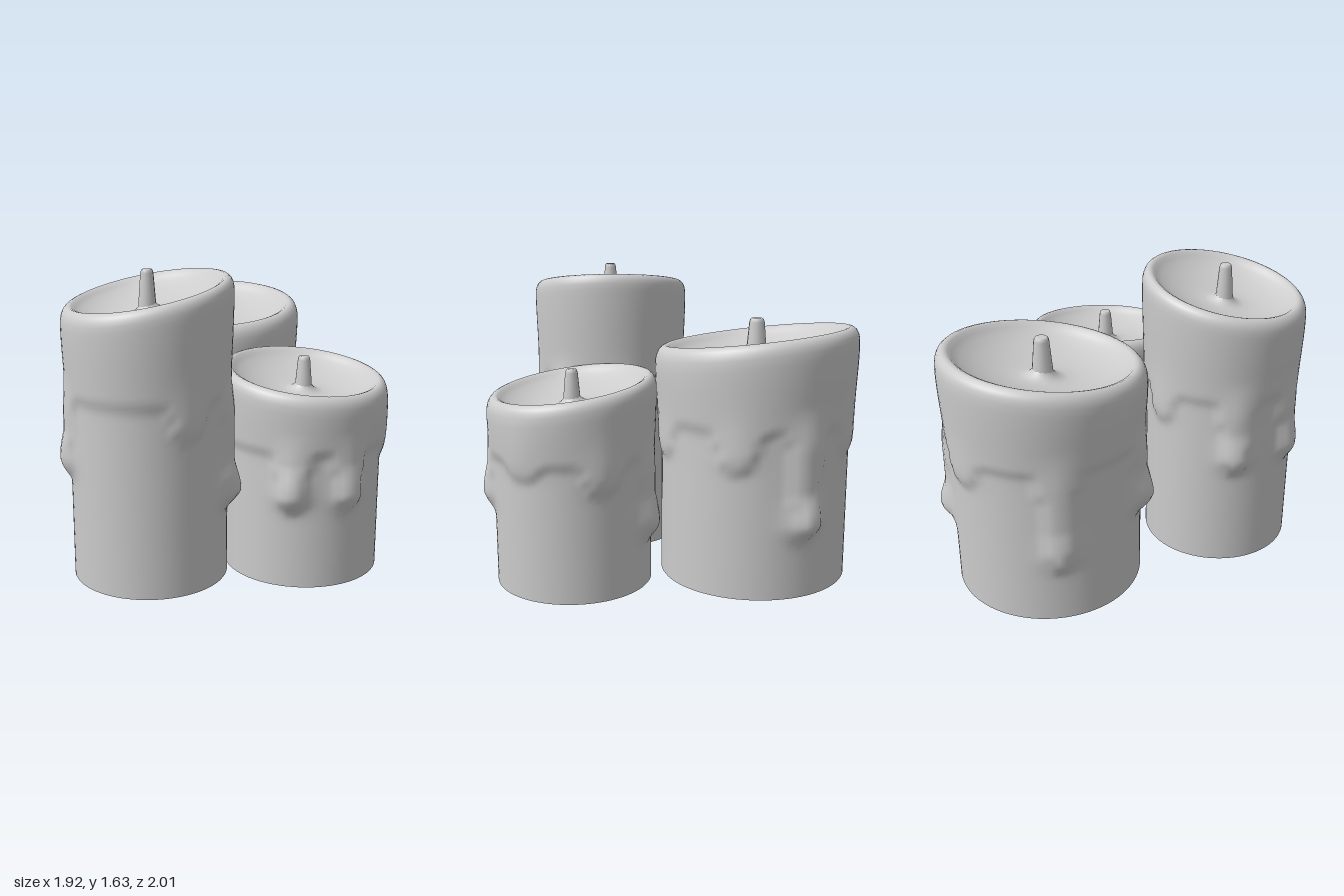
import * as THREE from 'three';

const SEG = 80, ROWS = 56;
const rad = THREE.MathUtils.degToRad;
const smooth = THREE.MathUtils.smoothstep;

// Each drip: [angle from +x towards +z, height of its tip, half width, bulge]
const CANDLES = [
  { name: 'tallCandle', x: -0.51, z: 0.12, top: 1.53, tiltX: 0.19, tiltZ: 0.05, rTop: 0.447, rBase: 0.415,
    edge: 1.0, wick: 1.635, drips: [[98, 0.82, 14, 0.012], [55, 0.4, 11, 0.07], [5, 0.8, 14, 0.012],
      [-45, 0.82, 13, 0.012], [-107, 0.57, 12, 0.05], [-156, 0.57, 12, 0.045]] },
  { name: 'shortCandle', x: 0.22, z: 0.535, top: 1.075, tiltX: 0, tiltZ: -0.135, rTop: 0.45, rBase: 0.42,
    edge: 0.72, wick: 1.15, drips: [[101, 0.41, 11, 0.045], [142, 0.41, 11, 0.055], [50, 0.64, 14, 0.01],
      [-8, 0.57, 14, 0.02], [-53, 0.26, 12, 0.055], [-120, 0.45, 12, 0.03]] },
  { name: 'wideCandle', x: 0.38, z: -0.45, top: 1.31, tiltX: 0.1, tiltZ: -0.085, rTop: 0.547, rBase: 0.51,
    edge: 0.88, wick: 1.4, drips: [[-8, 0.31, 10, 0.07], [33, 0.67, 12, 0.015], [-47, 0.72, 14, 0.012],
      [-110, 0.3, 10, 0.035], [-174, 0.45, 11, 0.07], [148, 0.5, 10, 0.03], [90, 0.68, 13, 0.012]] },
];

// Rounded lip, melted bowl and the meniscus at the wick: [radius / rTop, height / rTop]
const LIP = [[0.997, -0.13], [0.985, -0.08], [0.965, -0.04], [0.935, -0.012], [0.9, 0], [0.865, -0.015],
  [0.83, -0.05], [0.77, -0.1], [0.65, -0.16], [0.5, -0.21], [0.35, -0.235], [0.24, -0.24],
  [0.18, -0.23], [0.13, -0.205], [0.1, -0.17], [0.08, -0.13]];

// Falloff of a drip around the candle: 1 on its middle line, 0 away from it
function around(angle, drip, power) {
  const d = angle - rad(drip[0]);
  const delta = Math.abs(Math.atan2(Math.sin(d), Math.cos(d)));
  return Math.exp(-Math.pow(delta / rad(drip[2]), power));
}

// Radius of the side wall: tapered body, scalloped wax coat and hanging drips
function wallRadius(c, angle, y, yMax) {
  let edge = c.edge, bulge = 0;
  for (const drip of c.drips) {
    const [, low, , size] = drip;
    edge = Math.min(edge, c.edge - (c.edge - low) * around(angle, drip, 4));
    const h = y - low - 0.1;
    const bulb = Math.exp(-Math.pow(h / (h < 0 ? 0.075 : 0.17), 2));
    const stem = smooth(y, low, low + 0.1) * (1 - smooth(y, c.edge - 0.1, c.edge + 0.15));
    bulge += around(angle, drip, 2) * size * Math.max(bulb, 0.45 * stem);
  }
  const coat = 0.016 * smooth(y, edge - 0.035, edge + 0.045);
  const flare = smooth(y, c.edge - 0.1, yMax);
  const body = THREE.MathUtils.lerp(c.rBase, c.rTop - 0.016, flare);
  return body + coat + bulge;
}

function waxGeometry(c) {
  const pos = [], index = [];
  const rings = ROWS + LIP.length;
  for (let j = 0; j < rings; j++) {
    for (let i = 0; i < SEG; i++) {
      const a = (i / SEG) * Math.PI * 2, cos = Math.cos(a), sin = Math.sin(a);
      const plane = (r) => c.top + r * (c.tiltX * cos + c.tiltZ * sin);
      let r, y;
      if (j < ROWS) {
        const yMax = plane(c.rTop) - 0.2 * c.rTop;
        y = (j / (ROWS - 1)) * yMax;
        r = wallRadius(c, a, y, yMax);
      } else {
        const [fr, fy] = LIP[j - ROWS];
        r = fr * c.rTop;
        y = plane(r) + fy * c.rTop;
      }
      pos.push(r * cos, y, r * sin);
      if (j < rings - 1) {
        const n = (i + 1) % SEG, p = j * SEG, q = p + SEG;
        index.push(p + i, q + i, p + n, p + n, q + i, q + n);
      }
    }
  }
  const g = new THREE.BufferGeometry();
  g.setAttribute('position', new THREE.Float32BufferAttribute(pos, 3));
  g.setIndex(index);
  g.computeVertexNormals();
  return g;
}

// Tapered wick with a small bevelled tip
function wickGeometry(c) {
  const r = 0.072 * c.rTop, foot = c.top - 0.23 * c.rTop;
  const profile = [[r * 1.5, foot], [r * 1.05, c.wick - 0.02], [r * 0.9, c.wick - 0.004],
    [r * 0.75, c.wick], [0, c.wick]];
  return new THREE.LatheGeometry(profile.map(([x, y]) => new THREE.Vector2(x, y)), 12);
}

export function createModel() {
  const model = new THREE.Group();
  model.name = 'candles';
  const material = new THREE.MeshStandardMaterial({ color: 0xcccccc, side: THREE.DoubleSide });
  for (const c of CANDLES) {
    const candle = new THREE.Group();
    candle.name = c.name;
    const wax = new THREE.Mesh(waxGeometry(c), material);
    wax.name = 'wax';
    const wick = new THREE.Mesh(wickGeometry(c), material);
    wick.name = 'wick';
    candle.add(wax, wick);
    candle.position.set(c.x, 0, c.z);
    model.add(candle);
  }
  return model;
}
